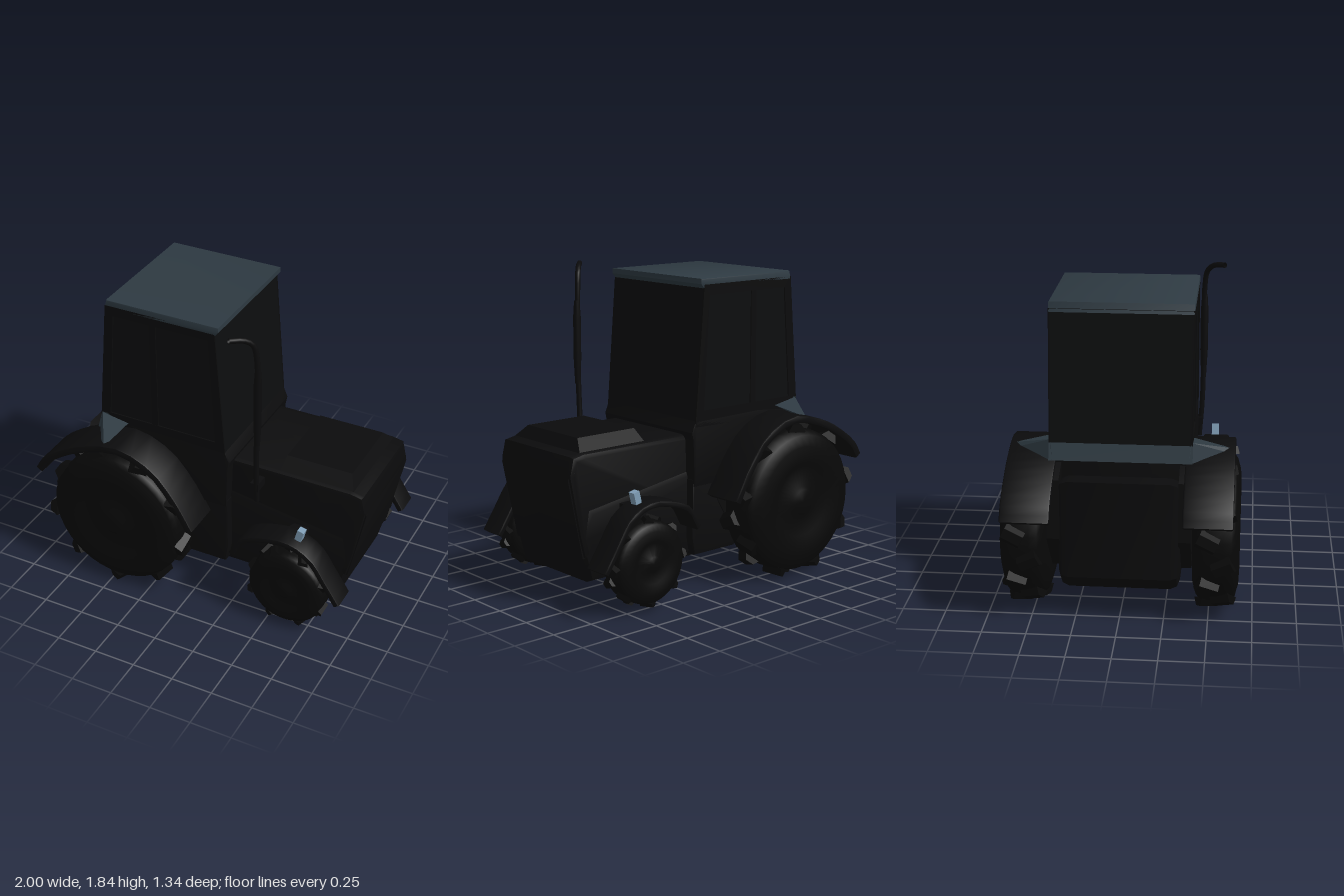
import * as THREE from 'three';
import { toCreasedNormals } from 'three/addons/utils/BufferGeometryUtils.js';
import { ConvexGeometry } from 'three/addons/geometries/ConvexGeometry.js';

const mat = (color) => new THREE.MeshStandardMaterial({ color });
const black = mat(0x0b0b0c), rubber = mat(0x080808), glass = mat(0x0c0d0e);
const roofBlue = mat(0x2e3a42), lamp = mat(0x7f9db5);
const openBlack = new THREE.MeshStandardMaterial({ color: 0x0b0b0c, side: THREE.DoubleSide });

function add(parent, name, geometry, material, x = 0, y = 0, z = 0) {
  const mesh = new THREE.Mesh(geometry, material);
  mesh.name = name;
  mesh.position.set(x, y, z);
  parent.add(mesh);
  return mesh;
}

const outline = (pts) => pts.map(([x, y]) => new THREE.Vector2(x, y));
const hull = (pts) => new ConvexGeometry(pts.map((p) => new THREE.Vector3(...p)));

// Side profile extruded along z, from z0 to z1, with inset bevelled edges
function slab(pts, z0, z1, bevel = 0, hole = null) {
  const shape = new THREE.Shape(outline(pts));
  if (hole) shape.holes.push(new THREE.Path(outline(hole)));
  const g = new THREE.ExtrudeGeometry(shape, {
    depth: z1 - z0 - 2 * bevel, bevelEnabled: bevel > 0, bevelThickness: bevel,
    bevelSize: bevel, bevelOffset: -bevel, bevelSegments: 2, steps: 1,
  });
  g.translate(0, 0, z0 + bevel);
  return toCreasedNormals(g, 0.6);
}

// Curved mudguard: a smooth centre line given thickness, then extruded
function guard(pts, thickness, z0, z1) {
  const curve = new THREE.CatmullRomCurve3(pts.map(([x, y]) => new THREE.Vector3(x, y, 0)));
  const outer = [], inner = [];
  for (let i = 0; i <= 16; i++) {
    const p = curve.getPoint(i / 16), t = curve.getTangent(i / 16);
    outer.push([p.x, p.y]);
    inner.unshift([p.x + t.y * thickness, p.y - t.x * thickness]);
  }
  return slab([...inner, ...outer], z0, z1, 0.01);
}

// Tractor wheel: tyre with bulging sidewalls, filled rim, staggered tapered lugs
function wheel(name, r, width, lugs) {
  const g = new THREE.Group();
  g.name = name;
  const h = width / 2, core = r * 0.93;
  const half = [
    [0, h * 1.22], [r * 0.16, h * 1.22], [r * 0.2, h * 1.12], [r * 0.46, h * 1.12],
    [r * 0.52, h * 1.22], [r * 0.72, h * 1.18], [r * 0.86, h], [core * 0.98, h * 0.8], [core, h * 0.4],
  ];
  const mirrored = half.map(([x, y]) => [x, -y]);
  const tyre = new THREE.LatheGeometry(outline([...mirrored, ...half.reverse()]), 40);
  tyre.rotateX(Math.PI / 2);
  add(g, 'tyre', toCreasedNormals(tyre, 0.7), rubber);

  const lugShape = slab([
    [-0.12 * r, 0], [0.12 * r, 0], [0.06 * r, 0.1 * r], [-0.06 * r, 0.1 * r],
  ], -width * 0.26, width * 0.26);
  for (let i = 0; i < lugs * 2; i++) {
    const side = i % 2 ? 1 : -1;
    const arm = new THREE.Group();
    arm.name = 'lugArm';
    arm.rotation.z = (i / (lugs * 2)) * Math.PI * 2;
    const lug = add(arm, 'lug', lugShape, rubber, 0, r * 0.9, side * width * 0.2);
    lug.rotation.y = side * 0.45;
    g.add(arm);
  }
  return g;
}

export function createModel() {
  const model = new THREE.Group();
  model.name = 'tractor';

  // Chassis and engine cover
  add(model, 'chassis', slab([
    [-0.82, 0.27], [-0.74, 0.18], [-0.2, 0.155], [0.86, 0.155], [0.93, 0.42],
    [0.9, 0.6], [-0.1, 0.75], [-0.82, 0.84],
  ], -0.34, 0.34, 0.055), black);
  add(model, 'engineCover', slab([
    [0.0, 0.4], [0.9, 0.3], [0.93, 0.42], [1.0, 0.78], [0.975, 0.885], [0.9, 0.9], [0.0, 0.9],
  ], -0.33, 0.33, 0.03), black);
  const hoodPoints = [];
  for (const s of [-1, 1]) {
    hoodPoints.push([0.45, 0.8, s * 0.33], [0.455, 0.9, s * 0.3], [0.47, 0.965, s * 0.23],
      [0.97, 0.8, s * 0.33], [0.91, 0.9, s * 0.3], [0.87, 0.965, s * 0.23]);
  }
  add(model, 'hoodTop', hull(hoodPoints), black);
  add(model, 'grille', slab([
    [0.88, 0.3], [0.905, 0.3], [1.0, 0.76], [0.97, 0.84], [0.9, 0.84],
  ], -0.31, 0.31), black);

  // Cab: lower body, rear ledge, glazed core and roof
  add(model, 'cabBase', slab([
    [-0.67, 0.93], [-0.66, 0.6], [0.16, 0.6], [0.17, 0.87], [0.18, 0.92], [0.15, 0.99], [-0.66, 1.0],
  ], -0.4, 0.4, 0.01), black);
  add(model, 'rearLedge', slab([
    [-0.69, 0.915], [-0.6, 0.9], [-0.6, 1.03], [-0.658, 1.03],
  ], -0.4, 0.4), roofBlue);
  const cab = [[-0.67, 0.93], [0.155, 0.95], [0.09, 1.76], [-0.6, 1.76]];
  add(model, 'cabGlass', slab(cab, -0.392, 0.392), glass);
  const opening = [[-0.6, 1.04], [-0.55, 1.7], [0.05, 1.7], [0.09, 1.04]];
  add(model, 'roof', slab([
    [-0.605, 1.74], [0.095, 1.74], [0.115, 1.765], [0.115, 1.795], [-0.59, 1.795],
  ], -0.4, 0.4, 0.008), roofBlue);

  // Parts that repeat on both sides
  for (const s of [-1, 1]) {
    const side = s > 0 ? 'left' : 'right';
    const span = (a, b) => (s > 0 ? [a, b] : [-b, -a]);

    add(model, side + 'CabFrame', slab(cab, ...span(0.385, 0.4), 0, opening), black);
    add(model, side + 'DoorPillar', new THREE.BoxGeometry(0.04, 0.7, 0.01), black, -0.3, 1.37, s * 0.394);
    add(model, side + 'SideTank', slab([
      [-0.2, 0.22], [-0.16, 0.19], [0.15, 0.19], [0.17, 0.3], [0.165, 0.64], [-0.2, 0.64],
    ], ...span(0.3, 0.393), 0.012), black);

    const rear = wheel(side + 'RearWheel', 0.46, 0.22, 9);
    rear.position.set(-0.46, 0.46, s * 0.537);
    const front = wheel(side + 'FrontWheel', 0.255, 0.145, 8);
    front.position.set(0.625, 0.28, s * 0.5);
    model.add(rear, front);

    add(model, side + 'RearMudguard', guard([
      [-1.0, 0.665], [-0.945, 0.75], [-0.79, 0.86], [-0.65, 0.925], [-0.42, 0.975],
      [-0.2, 0.89], [-0.05, 0.72], [0.055, 0.54],
    ], 0.045, ...span(0.36, 0.635)), black);
    add(model, side + 'RearInnerPanel', slab([
      [-0.82, 0.5], [-0.8, 0.84], [-0.62, 0.92], [-0.42, 0.95], [-0.2, 0.86], [-0.06, 0.7],
      [-0.02, 0.5], [-0.12, 0.33], [-0.6, 0.25],
    ], ...span(0.33, 0.4)), black);

    // Sloped corner between cab and mudguard
    add(model, side + 'CornerGusset', hull([
      [-0.69, 0.915, s * 0.38], [-0.66, 1.03, s * 0.39], [-0.48, 1.0, s * 0.39],
      [-0.52, 0.955, s * 0.62], [-0.54, 0.93, s * 0.62],
    ]), roofBlue);

    add(model, side + 'FrontMudguard', guard([
      [0.265, 0.43], [0.34, 0.55], [0.48, 0.61], [0.64, 0.625], [0.78, 0.56], [0.88, 0.42], [0.965, 0.29],
    ], 0.035, ...span(0.42, 0.58)), black);
    add(model, side + 'FrontLamp', new THREE.BoxGeometry(0.04, 0.07, 0.045), lamp, 0.68, 0.65, s * 0.493)
      .rotation.z = -0.25;

    // Flared front hub carrier, flared mudguard bracket and rear axle
    const carrier = new THREE.LatheGeometry(outline([[0.09, 0], [0.055, 0.04], [0.055, 0.09], [0.09, 0.13]]), 16);
    carrier.rotateX(s * Math.PI / 2);
    add(model, side + 'FrontAxle', carrier, openBlack, 0.625, 0.28, s * 0.32);
    add(model, side + 'MudguardBracket', hull([
      [0.58, 0.53, s * 0.31], [0.66, 0.53, s * 0.31], [0.58, 0.58, s * 0.31], [0.66, 0.58, s * 0.31],
      [0.55, 0.56, s * 0.44], [0.69, 0.56, s * 0.44], [0.55, 0.605, s * 0.44], [0.69, 0.595, s * 0.44],
    ]), black);
    const axle = new THREE.CylinderGeometry(0.09, 0.09, 0.25, 16);
    axle.rotateX(Math.PI / 2);
    add(model, side + 'RearAxle', axle, black, -0.46, 0.46, s * 0.45);
  }

  // Exhaust stack with silencer and swept tip
  const path = new THREE.CatmullRomCurve3([
    [0.36, 0.72, 0.4], [0.36, 0.95, 0.415], [0.365, 1.3, 0.42], [0.36, 1.68, 0.42],
    [0.345, 1.77, 0.435], [0.31, 1.81, 0.475], [0.25, 1.825, 0.54],
  ].map((p) => new THREE.Vector3(...p)));
  add(model, 'exhaustPipe', new THREE.TubeGeometry(path, 40, 0.016, 10), openBlack);
  const silencer = outline([[0.016, -0.25], [0.023, -0.1], [0.023, 0.15], [0.016, 0.25]]);
  add(model, 'silencer', new THREE.LatheGeometry(silencer, 12), black, 0.367, 1.37, 0.42);
  add(model, 'exhaustBracket', new THREE.BoxGeometry(0.05, 0.05, 0.12), black, 0.35, 0.82, 0.36);

  return model;
}
